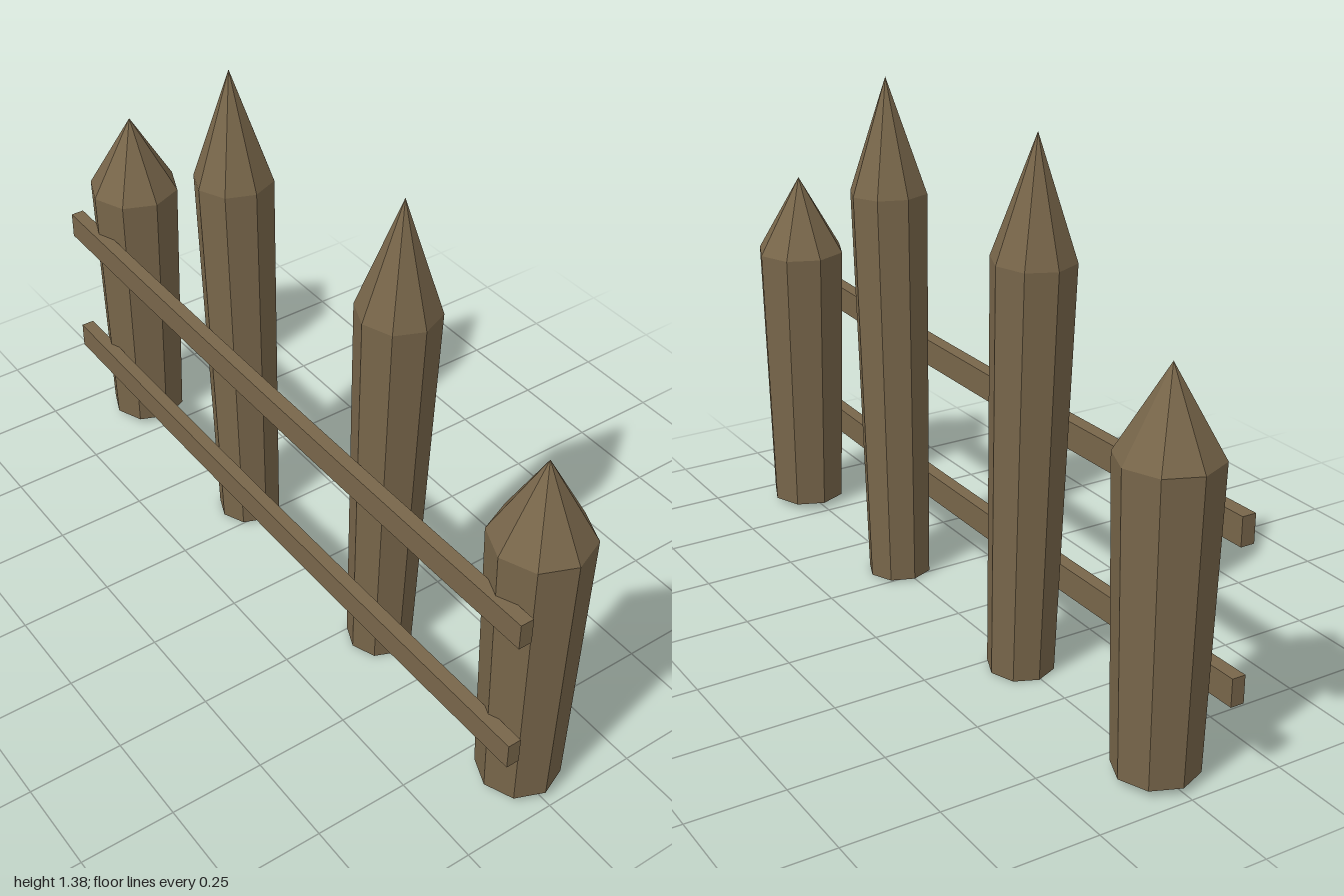
import * as THREE from 'three';

const wood = new THREE.MeshStandardMaterial({ color: 0x78664a });
wood.name = 'weatheredWood';
wood.flatShading = true;
wood.side = THREE.DoubleSide; // posts are open underneath

// Eight-sided stake: tapered shaft widening upward, then a pointed tip
function makePost(name, bottomRadius, topRadius, shaftHeight, height) {
  const profile = [[bottomRadius, 0], [topRadius, shaftHeight], [0, height]]
    .map(([r, y]) => new THREE.Vector2(r, y));
  const post = new THREE.Mesh(new THREE.LatheGeometry(profile, 8), wood);
  post.name = name;
  return post;
}

// Thin rail that sags slightly toward its middle
function makeRail(name, y) {
  const geometry = new THREE.BoxGeometry(1.975, 0.072, 0.036, 6, 1, 1);
  const p = geometry.attributes.position;
  for (let i = 0; i < p.count; i++) {
    p.setY(i, p.getY(i) + 0.013 * p.getX(i) ** 2);
  }
  const rail = new THREE.Mesh(geometry, wood);
  rail.name = name;
  rail.position.set(-0.0125, y, 0.113);
  return rail;
}

export function createModel() {
  const fence = new THREE.Group();
  fence.name = 'picketFence';

  for (const [side, s] of [['left', 1], ['right', -1]]) {
    // Short, thick outer stake
    const outer = makePost(side + 'OuterPost', 0.105, 0.125, 0.765, 0.98);
    outer.position.set(s * 0.871, 0.02, -0.006);

    // Tall, slim inner stake leaning outward
    const inner = makePost(side + 'InnerPost', 0.086, 0.104, 1.075, 1.376);
    inner.position.set(s * 0.31, 0.004, -0.005);
    inner.rotation.z = -s * 0.03;

    fence.add(outer, inner);
  }

  fence.add(makeRail('upperRail', 0.622), makeRail('lowerRail', 0.23));
  return fence;
}
